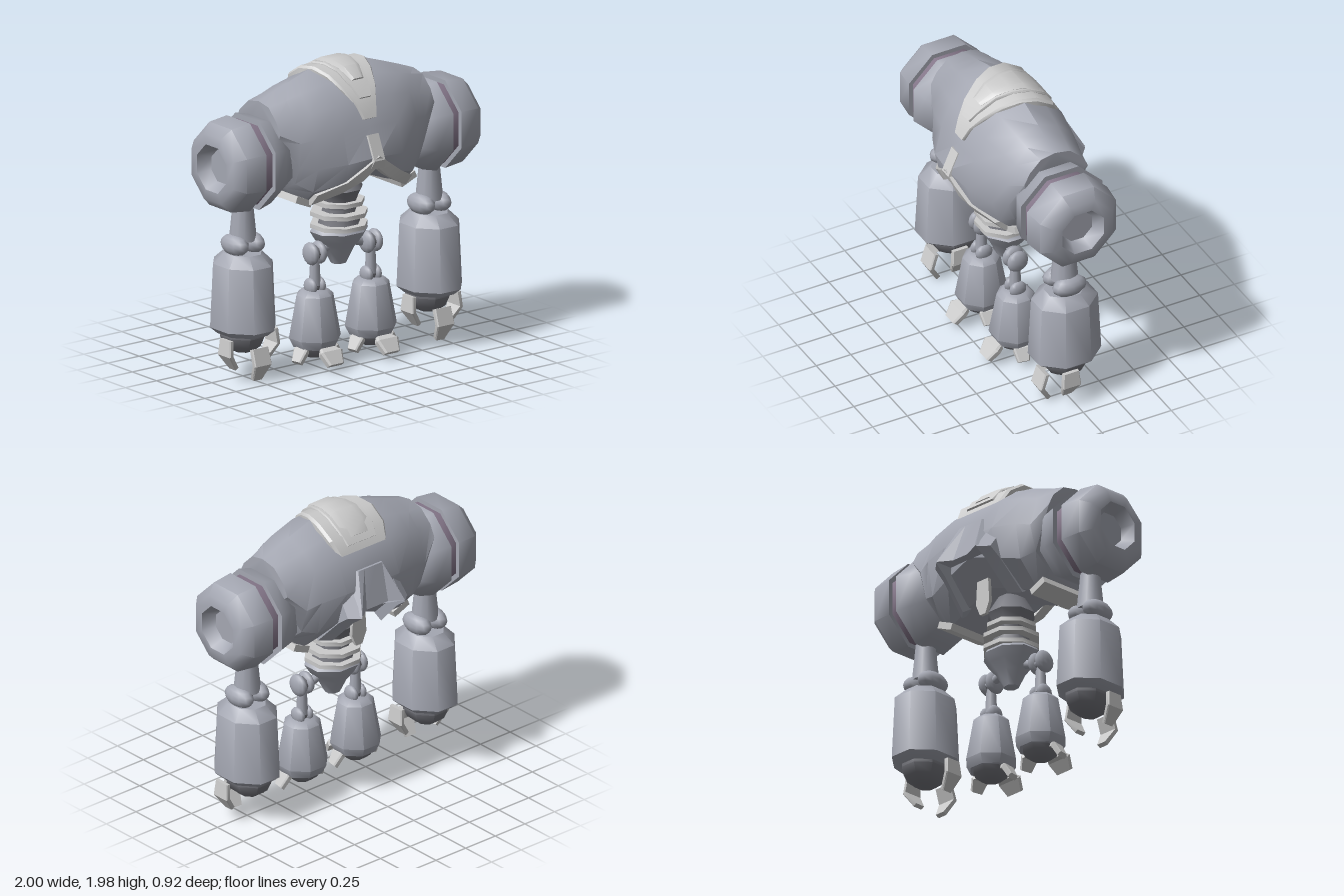
import * as THREE from 'three';
import { toCreasedNormals } from 'three/addons/utils/BufferGeometryUtils.js';

const material = (color) => new THREE.MeshStandardMaterial({ color });
const BODY = material(0xa4a7b2), TRIM = material(0xcccccc), DARK = material(0x77787f), BAND = material(0x85778a);

function part(parent, name, geometry, mat, x = 0, y = 0, z = 0) {
  const mesh = new THREE.Mesh(geometry, mat);
  mesh.name = name;
  mesh.position.set(x, y, z);
  parent.add(mesh);
  return mesh;
}

// Solid skin over a row of closed rings of [x, y, z], capped at both ends
function loft(rings, crease = 0.5) {
  const n = rings[0].length, idx = [], p = rings.flat();
  for (let r = 0; r < rings.length - 1; r++) {
    for (let i = 0; i < n; i++) {
      const a = r * n + i, b = r * n + (i + 1) % n;
      idx.push(a, b, a + n, b, b + n, a + n);
    }
  }
  const last = (rings.length - 1) * n;
  for (let i = 1; i < n - 1; i++) idx.push(0, i + 1, i, last, last + i, last + i + 1);
  // turn the faces outward if the enclosed volume is negative
  let volume = 0;
  const v = (i) => new THREE.Vector3(...p[i]);
  for (let i = 0; i < idx.length; i += 3) volume += v(idx[i]).dot(v(idx[i + 1]).cross(v(idx[i + 2])));
  if (volume < 0) idx.reverse();
  const g = new THREE.BufferGeometry();
  g.setAttribute('position', new THREE.Float32BufferAttribute(p.flat(), 3));
  g.setIndex(idx);
  return toCreasedNormals(g, crease);
}

// Bent plate following stations [z, y, halfWidth], bevelled on its outer face
function plate(stations, thick, bevel = 0.8) {
  return loft(stations.map(([z, y, w], i) => {
    const a = stations[Math.max(i - 1, 0)], b = stations[Math.min(i + 1, stations.length - 1)];
    const len = Math.hypot(b[0] - a[0], b[1] - a[1]);
    const nz = -(b[1] - a[1]) / len, ny = (b[0] - a[0]) / len;
    const at = (x, d) => [x, y + ny * d, z + nz * d];
    return [at(-w, -thick), at(-w, -thick * 0.25), at(-w * bevel, 0), at(w * bevel, 0), at(w, -thick * 0.25), at(w, -thick)];
  }));
}

// Eight-sided turned shape with flats facing the axes; profile of [radius, height]
function turned(profile, sides = 8) {
  const k = 1 / Math.cos(Math.PI / sides);
  const g = new THREE.LatheGeometry(profile.map(([r, y]) => new THREE.Vector2(r * k, y)), sides);
  return toCreasedNormals(g.rotateY(Math.PI / sides), 0.8);
}

// Pair of rounded cheeks with a pin between them
function joint(parent, name, x, y, z, spread, size) {
  for (const d of [-1, 1]) {
    part(parent, name + 'Cheek', new THREE.SphereGeometry(1, 12, 8).scale(...size), BODY, x + d * spread, y, z);
  }
  part(parent, name + 'Pin', new THREE.CylinderGeometry(size[1] * 0.7, size[1] * 0.7, spread * 2, 8).rotateZ(Math.PI / 2), DARK, x, y, z);
}

// Torso cross-sections: x, then ring of [z, y] from the top over the front
const TORSO = [
  [0, [[0, 1.95], [0.18, 1.88], [0.3, 1.76], [0.36, 1.6], [0.44, 1.42], [0.42, 1.36], [0.2, 1.27], [-0.15, 1.27], [-0.34, 1.42], [-0.36, 1.55], [-0.27, 1.77], [-0.15, 1.88]]],
  [0.22, [[0, 1.94], [0.17, 1.88], [0.29, 1.76], [0.36, 1.6], [0.41, 1.4], [0.38, 1.27], [0.22, 1.19], [-0.15, 1.19], [-0.32, 1.35], [-0.36, 1.55], [-0.27, 1.77], [-0.15, 1.87]]],
  [0.4, [[0, 1.88], [0.15, 1.84], [0.25, 1.73], [0.32, 1.58], [0.33, 1.38], [0.28, 1.22], [0.18, 1.13], [-0.12, 1.13], [-0.28, 1.3], [-0.32, 1.53], [-0.25, 1.73], [-0.14, 1.83]]],
  [0.5, [[0, 1.845], [0.13, 1.81], [0.22, 1.7], [0.28, 1.56], [0.27, 1.4], [0.22, 1.28], [0.12, 1.23], [-0.12, 1.23], [-0.24, 1.33], [-0.29, 1.5], [-0.23, 1.7], [-0.13, 1.8]]],
  [0.62, [[0, 1.8], [0.1, 1.78], [0.18, 1.7], [0.22, 1.62], [0.2, 1.58], [0.15, 1.56], [0.08, 1.55], [-0.08, 1.55], [-0.18, 1.57], [-0.24, 1.62], [-0.2, 1.7], [-0.11, 1.78]]],
];

function buildTorso(root) {
  const g = new THREE.Group();
  g.name = 'torso';
  root.add(g);
  const ring = (s) => ([x, pts]) => pts.map(([z, y]) => [s * x, y, z]);
  part(g, 'chest', loft([...TORSO.slice(1).reverse().map(ring(-1)), ...TORSO.map(ring(1))], 0.6), BODY);

  // crest over the top: frame, inner rim and dome
  part(g, 'crestFrame', plate([[-0.27, 1.77, 0.2], [-0.21, 1.87, 0.23], [-0.09, 1.945, 0.235], [0.03, 1.96, 0.215], [0.14, 1.925, 0.18], [0.25, 1.84, 0.13], [0.32, 1.75, 0.08], [0.36, 1.66, 0.05]], 0.06, 0.92), TRIM);
  part(g, 'crestRim', plate([[-0.255, 1.82, 0.12], [-0.19, 1.9, 0.14], [-0.08, 1.96, 0.14], [0.03, 1.972, 0.125], [0.14, 1.945, 0.1], [0.24, 1.87, 0.075], [0.31, 1.79, 0.045]], 0.04, 0.95), TRIM);
  part(g, 'crestDome', plate([[-0.23, 1.86, 0.09], [-0.17, 1.925, 0.115], [-0.07, 1.978, 0.115], [0.03, 1.985, 0.1], [0.14, 1.96, 0.08], [0.23, 1.895, 0.05]], 0.05, 0.6), TRIM);

  // breast stem and the two sweeping arms below it
  part(g, 'breastStem', plate([[0.385, 1.56, 0.045], [0.455, 1.4, 0.045], [0.43, 1.34, 0.06]], 0.05, 0.95), TRIM);
  for (const s of [-1, 1]) {
    const arm = [[0, 1.43, 0.455, 1.35, 0.43], [0.1, 1.36, 0.44, 1.27, 0.41], [0.22, 1.28, 0.405, 1.2, 0.35], [0.38, 1.2, 0.3, 1.12, 0.23]];
    part(g, 'bellyTrim', loft(arm.map(([x, yu, zu, yl, zl]) =>
      [[s * x, yu, zu], [s * x, yl, zl], [s * x, yl, zl - 0.07], [s * x, yu, zu - 0.07]])), TRIM);
    const skirt = part(g, 'skirtTrim', new THREE.BoxGeometry(0.13, 0.045, 0.36), TRIM, s * 0.42, 1.145, 0.03);
    skirt.rotation.z = s * 0.4;
    // pointed fin beside the back recess
    const fin = [[-0.25, 1.55], [-0.36, 1.53], [-0.46, 1.4], [-0.38, 1.34], [-0.2, 1.15], [-0.12, 1.2]];
    part(g, 'backFin', loft([0.17, 0.24].map((x, i) =>
      fin.map(([z, y]) => [s * (x + (1.5 - y) * 0.1), y, z + i * 0.06]))), BODY);
  }
  // flared cowl on the back and the tongue hanging under it
  const cowl = (y, half) => [...half, ...half.map(([x, z]) => [-x, z]).reverse()].map(([x, z]) => [x, y, z]);
  part(g, 'backCowl', loft([
    cowl(1.66, [[0.12, -0.22], [0.11, -0.31], [0.1, -0.33], [0.05, -0.33]]),
    cowl(1.41, [[0.24, -0.28], [0.23, -0.36], [0.18, -0.46], [0.09, -0.4]]),
  ], 0.3), BODY);
  part(g, 'backTongue', loft([[1.3, 0.05], [1.14, 0.06], [1.06, 0.025]].map(([y, w]) =>
    [[-w, y, -0.2], [w, y, -0.2], [w, y, -0.225], [-w, y, -0.225]])), TRIM);
}

function buildWaist(root) {
  const g = new THREE.Group();
  g.name = 'waist';
  g.position.z = 0.03;
  root.add(g);
  part(g, 'waistCore', turned([[0, 0.84], [0.14, 0.86], [0.1, 1.0], [0.12, 1.08], [0.145, 1.13], [0.08, 1.25], [0, 1.3]]), DARK);
  for (const [y, r] of [[1.04, 0.155], [0.965, 0.175], [0.885, 0.175]]) {
    part(g, 'waistRing', turned([[0, -0.014], [r, -0.014], [r, 0.014], [0, 0.014]]), TRIM, 0, y);
  }
  part(g, 'pelvis', turned([[0, 0.615], [0.05, 0.63], [0.1, 0.73], [0.15, 0.79], [0.185, 0.85], [0.17, 0.87], [0, 0.87]]).scale(1, 1, 0.85), BODY);
}

function buildArm(root, s) {
  const g = new THREE.Group();
  g.name = s > 0 ? 'leftArm' : 'rightArm';
  root.add(g);
  // shoulder drums are turned about the x axis
  const drum = (name, profile, mat) => part(g, name, turned(profile).rotateZ(-s * Math.PI / 2), mat, 0, 1.42, 0);
  drum('shoulderInner', [[0, 0.45], [0.12, 0.46], [0.22, 0.52], [0.27, 0.61], [0.295, 0.715], [0, 0.715]], BODY);
  drum('shoulderBand', [[0, 0.69], [0.26, 0.69], [0.26, 0.8], [0, 0.8]], BAND);
  drum('shoulderOuter', [[0, 0.785], [0.29, 0.785], [0.275, 0.93], [0.215, 0.995], [0.15, 1.0], [0.105, 0.92], [0, 0.92]], BODY);

  part(g, 'upperArm', new THREE.CylinderGeometry(0.06, 0.09, 0.3, 12), BODY, s * 0.75, 1.06, 0);
  joint(g, 'elbow', s * 0.75, 0.885, 0, 0.066, [0.066, 0.07, 0.12]);
  part(g, 'forearm', turned([[0, 0.3], [0.15, 0.3], [0.192, 0.34], [0.175, 0.76], [0.11, 0.83], [0, 0.83]]).scale(1, 1, 1.16), BODY, s * 0.75, 0, 0);
  part(g, 'palm', turned([[0, 0.165], [0.06, 0.175], [0.11, 0.22], [0.133, 0.28], [0.133, 0.32], [0, 0.32]]).scale(1, 1, 1.15), DARK, s * 0.745, 0, -0.01);

  part(g, 'frontClaw', plate([[0.165, 0.22, 0.065], [0.2, 0.11, 0.068], [0.135, 0.0, 0.036]], 0.03, 0.9), TRIM, s * 0.735, 0.005, 0);
  for (const [side, lift] of [[1, 0], [-1, 0.025]]) {
    const claw = part(g, 'sideClaw', plate([[0.195, 0.285, 0.055], [0.205, 0.18, 0.066], [0.135, 0.08, 0.035]], 0.028, 0.9), TRIM, s * 0.735, lift, 0.045);
    claw.rotation.y = s * side * Math.PI / 2;
  }
}

function buildLeg(root, s) {
  const g = new THREE.Group();
  g.name = s > 0 ? 'leftLeg' : 'rightLeg';
  g.position.set(s * 0.225, 0, 0.07);
  root.add(g);
  const axle = part(g, 'hipAxle', new THREE.CylinderGeometry(0.03, 0.03, 0.18, 8), BODY, -s * 0.08, 0.75, -0.02);
  axle.rotation.z = s * 1.25;
  joint(g, 'hip', 0, 0.74, 0, 0.032, [0.036, 0.075, 0.075]);
  part(g, 'thigh', new THREE.CylinderGeometry(0.03, 0.04, 0.18, 10), BODY, 0, 0.62, 0);
  joint(g, 'knee', 0, 0.525, 0, 0.035, [0.03, 0.055, 0.06]);
  part(g, 'shin', turned([[0, 0.13], [0.13, 0.13], [0.158, 0.19], [0.112, 0.47], [0.08, 0.5], [0, 0.5]]), BODY);
  part(g, 'footDome', turned([[0, 0.055], [0.06, 0.065], [0.1, 0.1], [0.12, 0.15], [0, 0.15]]), DARK);

  // three stubby toes: front, outer and inner
  for (const [turn, size] of [[0, 1.15], [1, 0.75], [-1, 0.75]]) {
    const toe = part(g, 'toe', plate([[0.13, 0.15, 0.05], [0.18, 0.135, 0.075], [0.235, 0.06, 0.05]], 0.04, 0.8), TRIM);
    toe.scale.x = size;
    toe.rotation.y = turn * 1.4;
    if (turn) toe.scale.z = 0.78;
  }
}

export function createModel() {
  const root = new THREE.Group();
  root.name = 'robot';
  buildTorso(root);
  buildWaist(root);
  for (const s of [-1, 1]) {
    buildArm(root, s);
    buildLeg(root, s);
  }
  return root;
}
